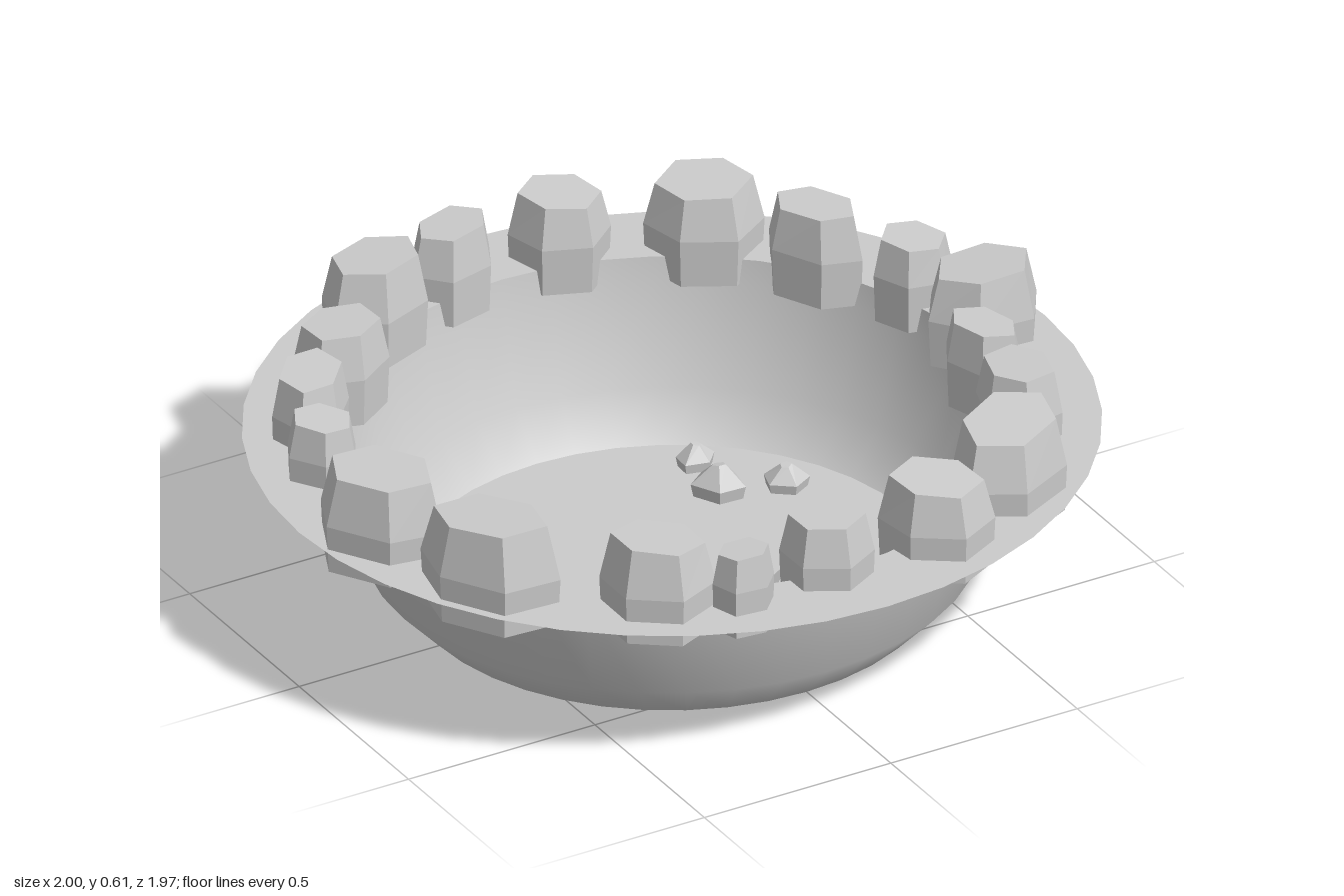
import * as THREE from 'three';

const V2 = (x, y) => new THREE.Vector2(x, y);
const smooth = new THREE.MeshStandardMaterial({ color: 0xcccccc, side: THREE.DoubleSide });
const faceted = new THREE.MeshStandardMaterial({ color: 0xcccccc, flatShading: true });

// Rim rocks: x, z, half length, half width, turn in degrees
const ROCKS = [
  [-0.35, -0.76, 0.145, 0.115, -20], [-0.11, -0.82, 0.12, 0.09, -10], [0.18, -0.82, 0.12, 0.11, 20],
  [0.49, -0.69, 0.135, 0.12, 25], [0.655, -0.46, 0.135, 0.085, 65], [0.79, -0.245, 0.1, 0.09, 70],
  [0.845, -0.02, 0.14, 0.125, 0], [0.725, 0.19, 0.11, 0.08, 70], [0.69, 0.41, 0.125, 0.1, -70],
  [0.52, 0.655, 0.165, 0.125, -25], [0.255, 0.775, 0.13, 0.115, 30], [-0.04, 0.775, 0.11, 0.105, 30],
  [-0.275, 0.795, 0.08, 0.07, 10], [-0.445, 0.695, 0.135, 0.12, 35], [-0.745, 0.44, 0.17, 0.125, 55],
  [-0.85, 0.12, 0.165, 0.12, 60], [-0.815, -0.21, 0.095, 0.075, 60], [-0.735, -0.4, 0.115, 0.09, -50],
  [-0.565, -0.55, 0.125, 0.105, -35],
];

// Floor pebbles: x, z, half length, half width, turn in degrees, height
const PEBBLES = [
  [-0.33, -0.19, 0.085, 0.05, 45, 0.09], [0.29, -0.28, 0.07, 0.055, 50, 0.08], [0.31, -0.42, 0.05, 0.04, 0, 0.06],
  [0.44, -0.23, 0.055, 0.045, 20, 0.06], [0.185, 0.205, 0.06, 0.045, 0, 0.07], [0.075, 0.5, 0.05, 0.03, 65, 0.06],
];

// Faceted stone: bulging prism, irregular around its axis, with a tilted top
function stone(sides, a, b, y0, yMid, yTop, rings, seed) {
  const geo = new THREE.CylinderGeometry(1, 1, 2, sides, 2);
  geo.rotateY(Math.PI / 2 - 2 * Math.PI / sides * Math.floor(sides / 4));
  const p = geo.attributes.position;
  for (let i = 0; i < p.count; i++) {
    const x = p.getX(i), z = p.getZ(i), level = Math.round(p.getY(i)) + 1;
    const wobble = 1 + 0.05 * Math.sin(3 * x + 2 * z + seed * 1.7);
    const s = rings[level] * wobble;
    const tilt = level === 2 ? 0.06 * (x * a * Math.sin(seed * 2.3) + z * b * Math.cos(seed)) : 0;
    p.setXYZ(i, x * a * s, [y0, yMid, yTop][level] + tilt, z * b * s);
  }
  geo.computeVertexNormals();
  return new THREE.Mesh(geo, faceted);
}

export function createModel() {
  const model = new THREE.Group();
  const add = (mesh, name, parent = model) => {
    mesh.name = name;
    parent.add(mesh);
    return mesh;
  };

  // Thin basin: smooth wall, flat floor and flat rim
  const basin = add(new THREE.Group(), 'basin');
  basin.scale.z = 0.985;
  const wall = [V2(0.625, 0), V2(0.72, 0.1), V2(0.78, 0.35), V2(0.79, 0.41)];
  add(new THREE.Mesh(new THREE.LatheGeometry(wall, 40), smooth), 'basinWall', basin);
  const floor = add(new THREE.Mesh(new THREE.CircleGeometry(0.625, 40), smooth), 'basinFloor', basin);
  floor.rotation.x = -Math.PI / 2;
  const rim = add(new THREE.Mesh(new THREE.RingGeometry(0.79, 1, 40), smooth), 'rim', basin);
  rim.rotation.x = -Math.PI / 2;
  rim.position.y = 0.41;

  // Ring of rocks set through the rim
  const rocks = add(new THREE.Group(), 'rimRocks');
  ROCKS.forEach(([x, z, a, b, deg], i) => {
    const rock = add(stone(6, a, b, 0.35, 0.47, 0.505 + 0.55 * a, [0.96, 1, 0.81], i), 'rimRock', rocks);
    rock.position.set(x, 0, z);
    rock.rotation.y = -THREE.MathUtils.degToRad(deg);
  });

  // Small sharp pebbles scattered on the floor
  const pebbles = add(new THREE.Group(), 'floorPebbles');
  PEBBLES.forEach(([x, z, a, b, deg, h], i) => {
    const pebble = add(stone(5, a, b, 0, h * 0.4, h, [0.9, 1, 0.25], i), 'floorPebble', pebbles);
    pebble.position.set(x, 0, z);
    pebble.rotation.y = -THREE.MathUtils.degToRad(deg);
  });

  return model;
}
